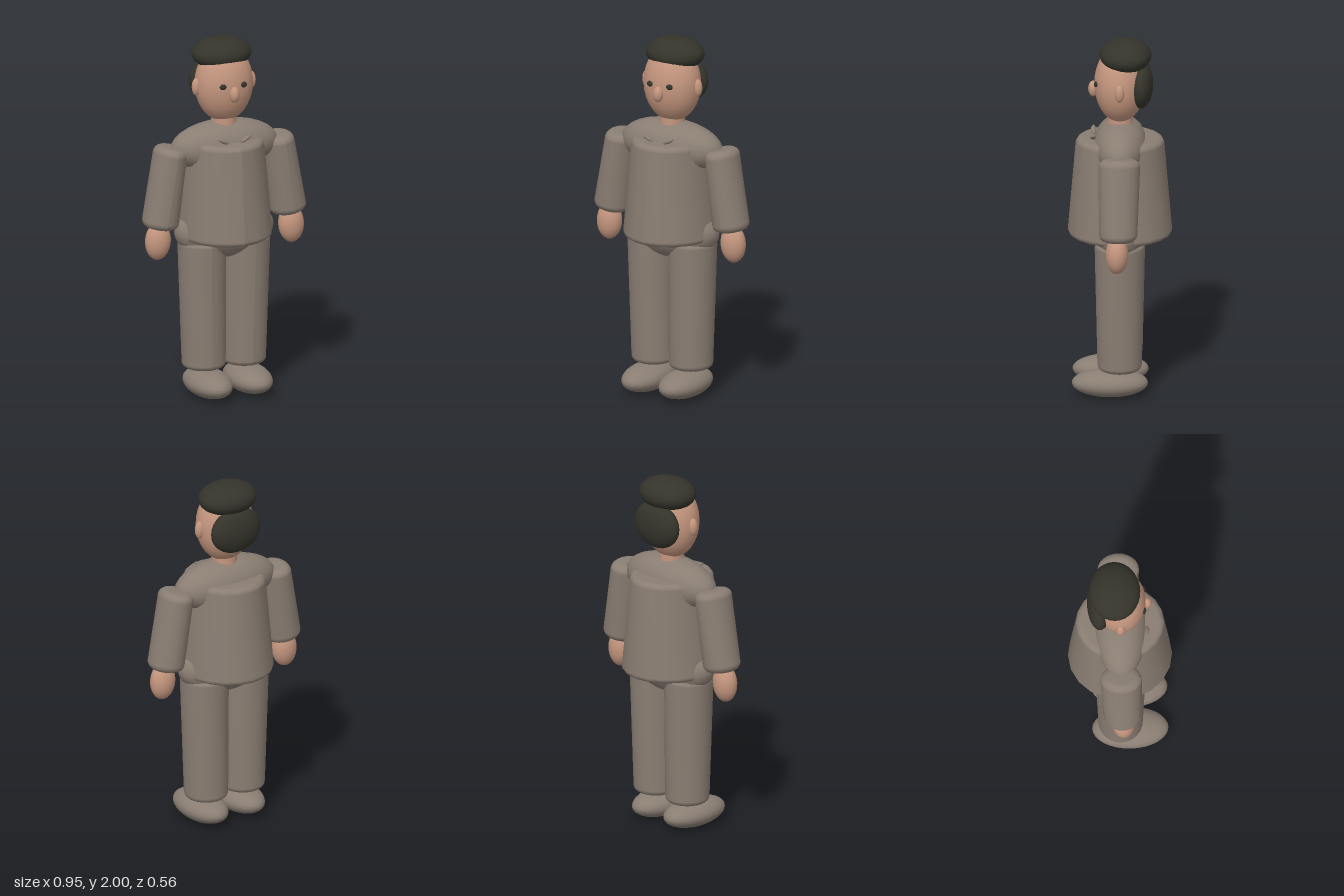
import * as THREE from 'three';

const clothes = new THREE.MeshStandardMaterial({ name: 'clothGrey', color: 0x8a7e73 });
const skin = new THREE.MeshStandardMaterial({ name: 'skin', color: 0xc4967e });
const hair = new THREE.MeshStandardMaterial({ name: 'darkHair', color: 0x34342b });

// Ellipsoid: centre and three radii
function ellipsoid(name, material, [x, y, z], [rx, ry, rz], segments = 32) {
  const geometry = new THREE.SphereGeometry(1, segments, segments / 2);
  geometry.scale(rx, ry, rz);
  const mesh = new THREE.Mesh(geometry, material);
  mesh.name = name;
  mesh.position.set(x, y, z);
  return mesh;
}

// Tapered oval tube with rounded rims, from bottom to top; radii are [x, z]
function limb(name, material, bottom, top, bottomR, topR, bevel, segments = 24) {
  const h = top[1] - bottom[1];
  const profile = [new THREE.Vector2(0, 0)];
  const corner = (y, inward, from) => {
    for (let i = 0; i <= 5; i++) {
      const a = from + (i / 5) * Math.PI / 2;
      profile.push(new THREE.Vector2(1 - inward + Math.cos(a) * inward, y + Math.sin(a) * bevel));
    }
  };
  corner(bevel, bevel / bottomR[0], -Math.PI / 2);
  corner(h - bevel, bevel / topR[0], 0);
  profile.push(new THREE.Vector2(0, h));
  const geometry = new THREE.LatheGeometry(profile, segments);
  const p = geometry.attributes.position;
  // Scale and shift each level between the two end ovals
  for (let i = 0; i < p.count; i++) {
    const t = p.getY(i) / h;
    const mix = (a, b) => a + (b - a) * t;
    p.setXYZ(i,
      p.getX(i) * mix(bottomR[0], topR[0]) + mix(bottom[0], top[0]),
      p.getY(i) + bottom[1],
      p.getZ(i) * mix(bottomR[1], topR[1]) + mix(bottom[2], top[2]));
  }
  geometry.computeVertexNormals();
  const mesh = new THREE.Mesh(geometry, material);
  mesh.name = name;
  return mesh;
}

export function createModel() {
  const model = new THREE.Group();
  model.name = 'standingFigure';

  // Jacket, shoulders and hips
  model.add(
    limb('jacket', clothes, [0, 0.89, 0], [0, 1.445, 0], [0.262, 0.285], [0.215, 0.238], 0.03, 20),
    ellipsoid('shoulders', clothes, [0, 1.4, 0], [0.312, 0.142, 0.145]),
    ellipsoid('hips', clothes, [0, 0.925, 0], [0.287, 0.16, 0.16]),
  );

  // Neck and head
  const neck = new THREE.Mesh(new THREE.CylinderGeometry(0.068, 0.07, 0.12, 24), skin);
  neck.name = 'neck';
  neck.position.set(0, 1.53, 0);
  model.add(
    neck,
    ellipsoid('head', skin, [0, 1.75, 0], [0.163, 0.215, 0.14]),
    ellipsoid('nose', skin, [0, 1.72, 0.145], [0.028, 0.045, 0.028], 16),
    ellipsoid('hairCap', hair, [0, 1.912, -0.03], [0.167, 0.088, 0.14]),
    ellipsoid('backHair', hair, [0, 1.747, -0.112], [0.155, 0.13, 0.068]),
  );

  // Mirrored parts
  for (const [side, s] of [['left', 1], ['right', -1]]) {
    const collar = ellipsoid(side + 'Collar', clothes, [s * 0.066, 1.462, 0.145], [0.034, 0.011, 0.014], 16);
    collar.rotation.z = s * 0.5;
    // Lean the hand slightly with the arm
    const hand = ellipsoid(side + 'Hand', skin, [s * 0.395, 0.902, 0.01], [0.072, 0.106, 0.061]);
    hand.rotation.z = s * 0.05;
    // Sleeve is built upright, then tilted about its middle
    const arm = limb(side + 'Sleeve', clothes, [0, -0.23, 0.004], [0, 0.225, -0.002],
      [0.102, 0.103], [0.088, 0.114], 0.04);
    arm.position.set(s * 0.347, 1.2, 0);
    arm.rotation.z = s * 0.155;
    model.add(
      collar, hand, arm,
      ellipsoid(side + 'Ear', skin, [s * 0.163, 1.745, 0], [0.025, 0.05, 0.026], 16),
      ellipsoid(side + 'Eye', hair, [s * 0.061, 1.766, 0.128], [0.02, 0.016, 0.013], 16),
      limb(side + 'Leg', clothes, [s * 0.119, 0.152, 0], [s * 0.131, 0.885, 0],
        [0.12, 0.12], [0.133, 0.136], 0.03),
      ellipsoid(side + 'Shoe', clothes, [s * 0.119, 0.075, 0.053], [0.118, 0.075, 0.207]),
    );
  }
  return model;
}
